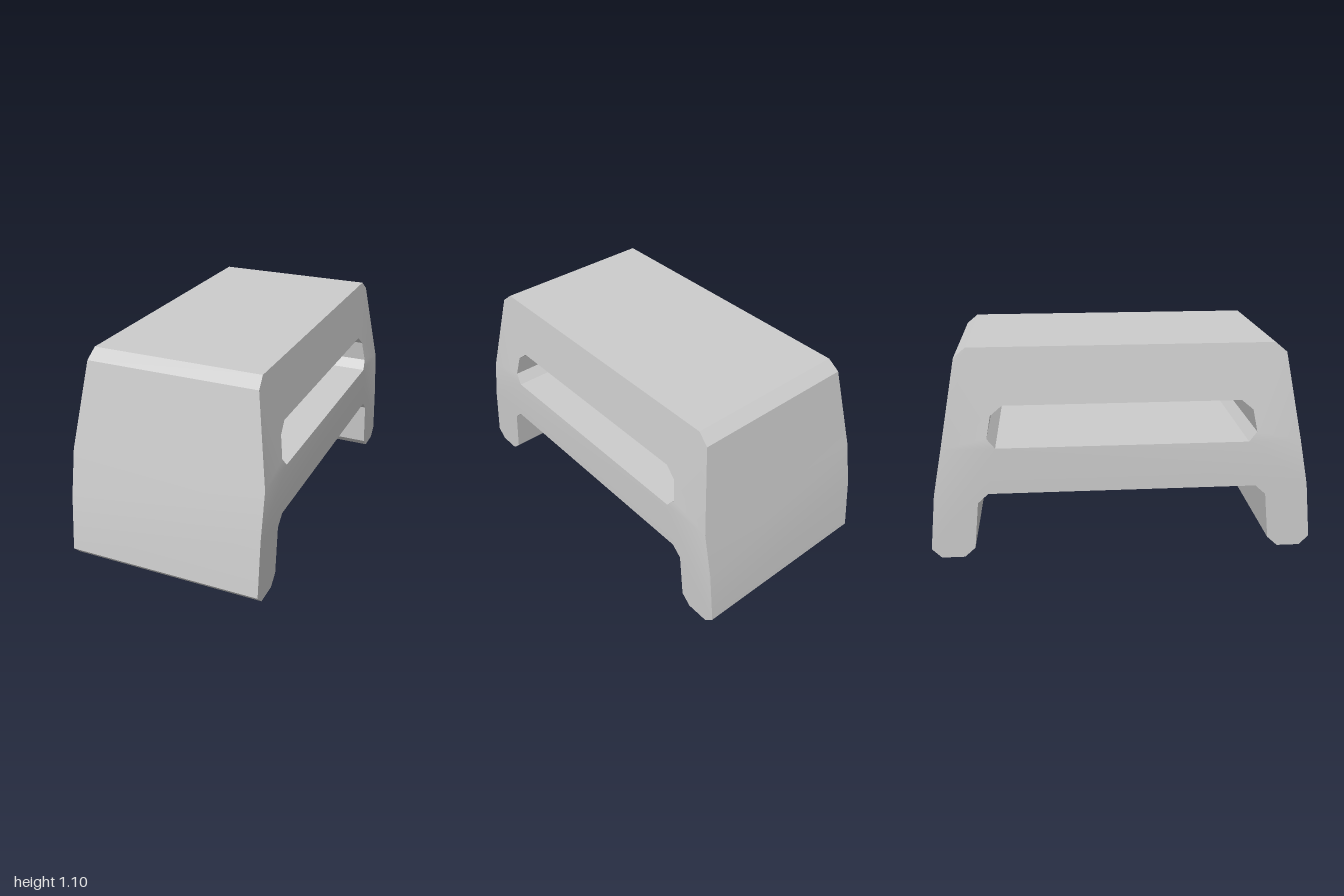
import * as THREE from 'three';
import { mergeGeometries, toCreasedNormals } from 'three/addons/utils/BufferGeometryUtils.js';

const HALF_WIDTH = 0.515, TOP_HALF_WIDTH = 0.44;
const SEAM = 0.595, TOP = 1.1; // the flanks lean inward above the seam

// Mirrors a half profile of [z, y] points and extrudes it across the width
function extrudeProfile(half) {
  const mirrored = half.map(([z, y]) => [-z, y]).reverse();
  const points = [...half, ...mirrored].map(([z, y]) => new THREE.Vector2(z, y));
  const geometry = new THREE.ExtrudeGeometry(new THREE.Shape(points), {
    depth: 2 * HALF_WIDTH, bevelEnabled: false,
  });
  geometry.translate(0, 0, -HALF_WIDTH).rotateY(Math.PI / 2);
  return geometry;
}

// Drops the hidden faces where the two sections meet inside the legs
function withoutSeamFaces(geometry) {
  const source = geometry.attributes.position;
  const kept = [];
  for (let i = 0; i < source.count; i += 3) {
    const corners = [0, 1, 2].map((k) => new THREE.Vector3().fromBufferAttribute(source, i + k));
    const onSeam = corners.every((p) => Math.abs(p.y - SEAM) < 1e-5 && Math.abs(p.z) > 0.649);
    const inLeg = corners.some((p) => p.z > 0.66) || corners.some((p) => p.z < -0.66);
    if (!(onSeam && inLeg)) corners.forEach((p) => kept.push(p.x, p.y, p.z));
  }
  const result = new THREE.BufferGeometry();
  result.setAttribute('position', new THREE.Float32BufferAttribute(kept, 3));
  return result;
}

export function createModel() {
  // Feet, legs and lower tread
  const lower = extrudeProfile([
    [0.695, 0.35], [0.75, 0.3], [0.775, 0.05], [0.83, 0], [0.95, 0],
    [1, 0.05], [0.97, 0.35], [0.922, SEAM], [0.65, SEAM],
  ]);

  // Upper arch around the slot
  const upper = extrudeProfile([
    [0.61, 0.81], [0.67, 0.76], [0.692, 0.645], [0.65, SEAM],
    [0.922, SEAM], [0.84, 1.05], [0.78, TOP],
  ]);

  // Taper of the flanks
  const position = upper.attributes.position;
  for (let i = 0; i < position.count; i++) {
    const t = (position.getY(i) - SEAM) / (TOP - SEAM);
    const x = THREE.MathUtils.lerp(HALF_WIDTH, TOP_HALF_WIDTH, t);
    position.setX(i, Math.sign(position.getX(i)) * x);
  }

  const body = mergeGeometries([withoutSeamFaces(lower), withoutSeamFaces(upper)]);
  const stool = new THREE.Mesh(
    toCreasedNormals(body, 0.5),
    new THREE.MeshStandardMaterial({ color: 0xcccccc }),
  );
  stool.name = 'stepStool';

  const group = new THREE.Group();
  group.name = 'stepStoolModel';
  group.add(stool);
  return group;
}
